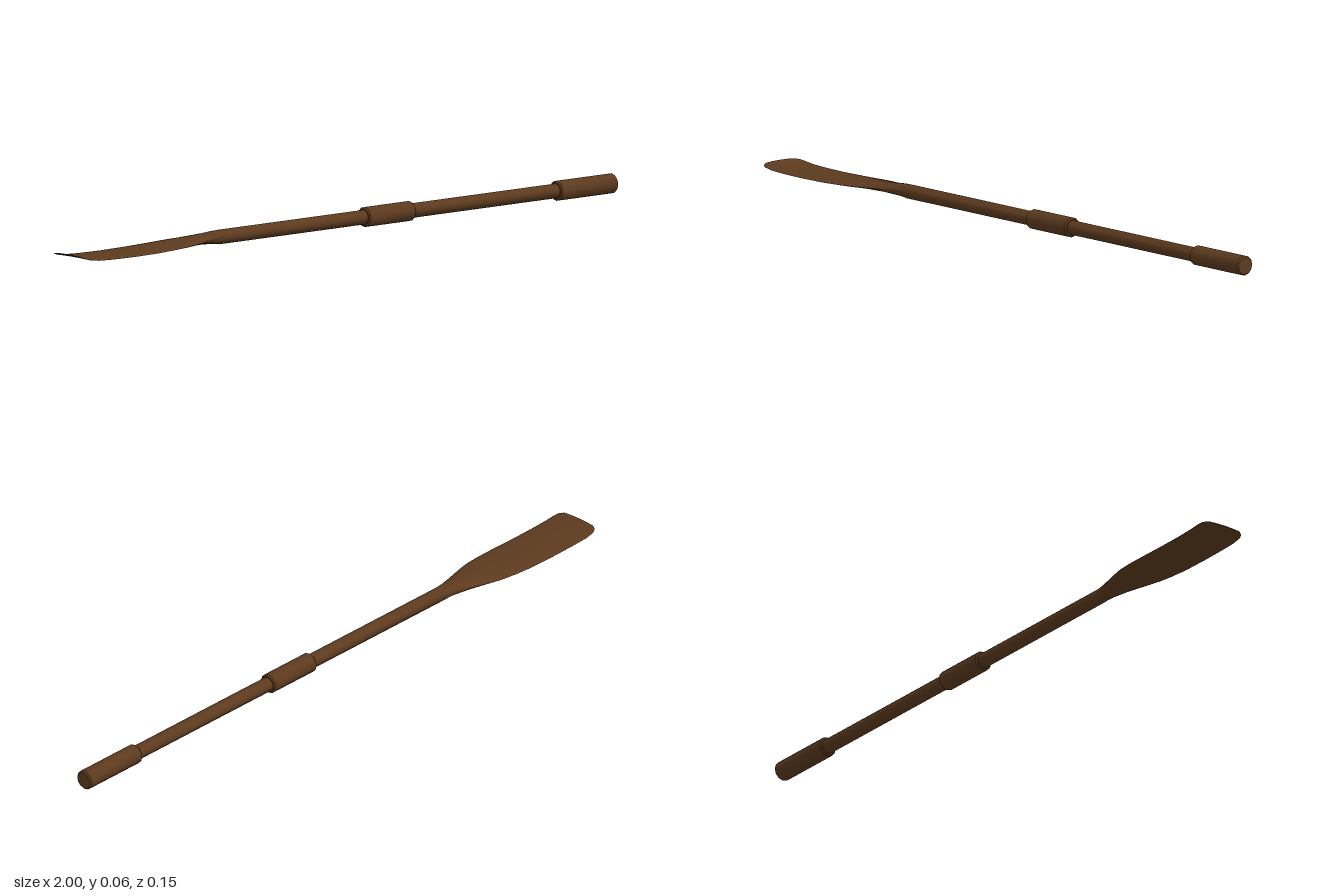
import * as THREE from 'three';
import { toCreasedNormals } from 'three/addons/utils/BufferGeometryUtils.js';

const AXIS_Y = 0.028;
const wood = new THREE.MeshStandardMaterial({ color: 0x5c3a1e });

// Turned part lying along x; profile is [radius, x] from low x to high x
function turned(name, profile) {
  const geo = new THREE.LatheGeometry(profile.map(([r, x]) => new THREE.Vector2(r, x)), 12);
  geo.rotateZ(-Math.PI / 2);
  const mesh = new THREE.Mesh(toCreasedNormals(geo, 0.7), wood);
  mesh.name = name;
  mesh.position.y = AXIS_Y;
  return mesh;
}

// Sleeve with slightly chamfered ends
function sleeve(name, x0, x1, r) {
  const c = 0.004;
  return turned(name, [[0, x0], [r - c, x0], [r, x0 + c], [r, x1 - c], [r - c, x1], [0, x1]]);
}

// Blade lofted from the round shaft to a thin, cambered, upturned tip
function blade() {
  // x, centre y, half width, half thickness, camber
  const sections = [
    [-0.44, 0.028, 0.020, 0.020, 0],
    [-0.47, 0.029, 0.025, 0.018, 0],
    [-0.52, 0.029, 0.040, 0.013, 0.001],
    [-0.57, 0.029, 0.055, 0.009, 0.002],
    [-0.62, 0.028, 0.067, 0.006, 0.003],
    [-0.67, 0.026, 0.072, 0.004, 0.003],
    [-0.73, 0.024, 0.075, 0.003, 0.003],
    [-0.82, 0.023, 0.075, 0.0025, 0.003],
    [-0.90, 0.024, 0.075, 0.0025, 0.003],
    [-0.95, 0.026, 0.075, 0.0025, 0.003],
    [-0.98, 0.030, 0.073, 0.002, 0.003],
    [-0.993, 0.034, 0.067, 0.002, 0.003],
    [-1.0, 0.036, 0.055, 0.0015, 0.002],
  ];
  const n = 20;
  const pos = [];
  const idx = [];
  sections.forEach(([x, y, w, t, camber], i) => {
    for (let j = 0; j < n; j++) {
      const a = (j / n) * Math.PI * 2;
      const c = Math.cos(a);
      pos.push(x, y + t * Math.sin(a) - camber * c * c, w * c);
      if (i === sections.length - 1) continue;
      const p = i * n + j;
      const q = i * n + (j + 1) % n;
      idx.push(p, q, p + n, q, q + n, p + n);
    }
  });
  // Close the tip
  const last = (sections.length - 1) * n;
  pos.push(-1, 0.036, 0);
  for (let j = 0; j < n; j++) idx.push(last + n, last + j, last + (j + 1) % n);

  const geo = new THREE.BufferGeometry();
  geo.setAttribute('position', new THREE.Float32BufferAttribute(pos, 3));
  geo.setIndex(idx);
  const mesh = new THREE.Mesh(toCreasedNormals(geo, 0.9), wood);
  mesh.name = 'blade';
  return mesh;
}

export function createModel() {
  const oar = new THREE.Group();
  oar.name = 'oar';
  oar.add(
    turned('shaft', [[0.0205, -0.45], [0.0205, 0.82]]),
    sleeve('collar', 0.085, 0.257, 0.028),
    sleeve('handle', 0.79, 1.0, 0.028),
    blade(),
  );
  return oar;
}
